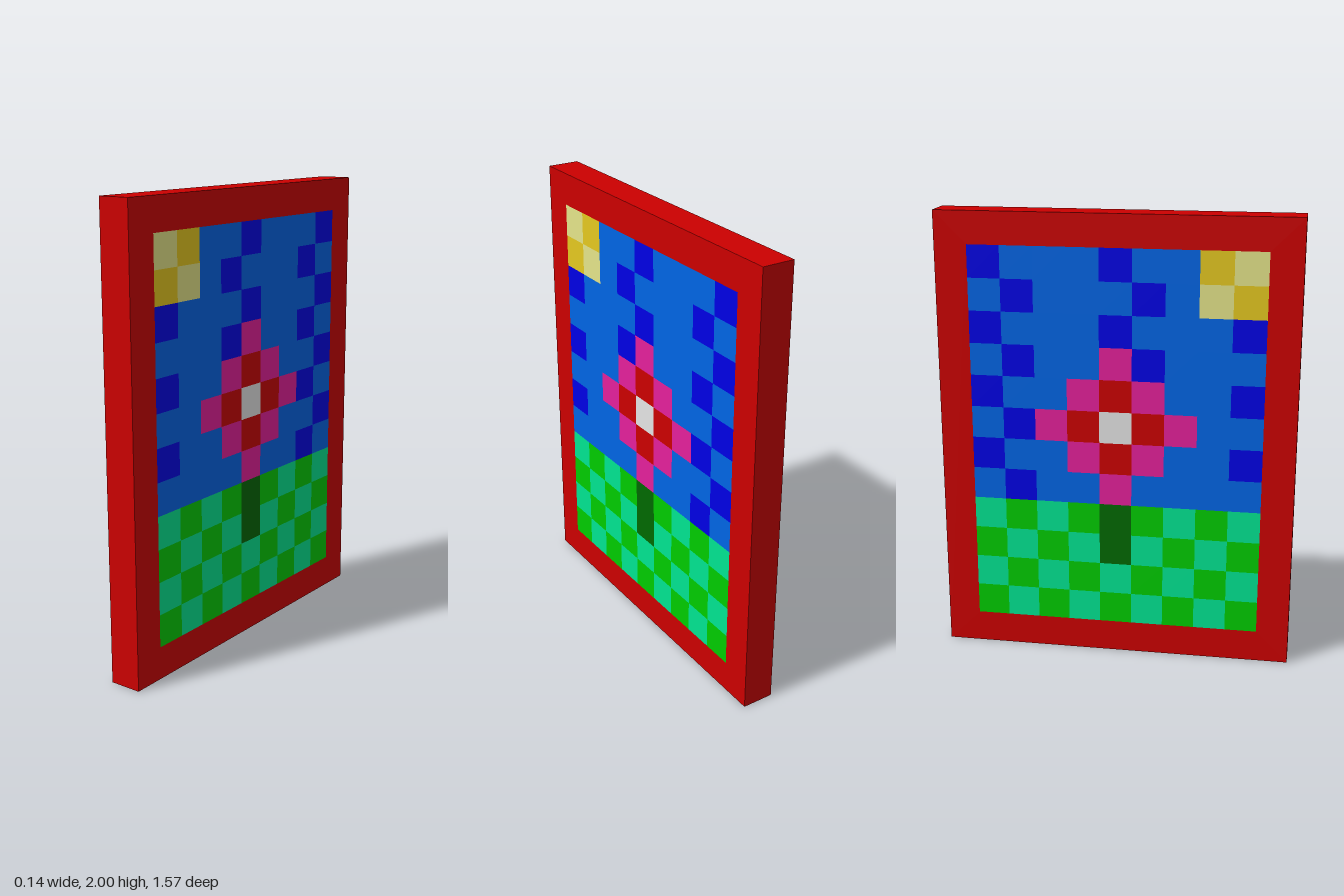
import * as THREE from 'three';
import { mergeGeometries } from 'three/addons/utils/BufferGeometryUtils.js';

const CELL = 2 / 14; // the panel is 11 x 14 cells and one cell thick
const COLS = 9, ROWS = 12;

// Mosaic from top to bottom; the first column lies at +z.
const MOSAIC = [
  'yg..n...n',
  'gy.n...n.',
  'n...n...n',
  '...np..n.',
  'n..prp..n',
  '..prwrpn.',
  'n..prp..n',
  '....p..n.',
  'tltldltlt',
  'ltltdtltl',
  'tltltltlt',
  'ltltltltl',
];

function material(name, color) {
  const m = new THREE.MeshStandardMaterial({ color });
  m.name = name;
  return m;
}

export function createModel() {
  const model = new THREE.Group();
  model.name = 'flowerPicture';

  const red = material('red', 0xcc0000);
  const parts = {
    '.': ['sky', material('sky blue', 0x0065e5)],
    n: ['skyPatches', material('deep blue', 0x0000e5)],
    y: ['sunPale', material('pale yellow', 0xe5e58a)],
    g: ['sunGold', material('gold', 0xe5c820)],
    p: ['petals', material('pink', 0xe5209b)],
    r: ['innerPetals', red],
    w: ['flowerCentre', material('light grey', 0xe5e5e5)],
    d: ['stem', material('dark green', 0x006900)],
    t: ['grassLight', material('sea green', 0x00e591)],
    l: ['grassDark', material('grass green', 0x00cc00)],
  };

  // Frame: outer rectangle with a rectangular opening, turned to face sideways
  const rectangle = (Type, w, h) => new Type([
    new THREE.Vector2(-w / 2, -h / 2), new THREE.Vector2(w / 2, -h / 2),
    new THREE.Vector2(w / 2, h / 2), new THREE.Vector2(-w / 2, h / 2),
  ]);
  const outline = rectangle(THREE.Shape, 11 * CELL, 14 * CELL);
  outline.holes.push(rectangle(THREE.Path, COLS * CELL, ROWS * CELL));
  const frameGeometry = new THREE.ExtrudeGeometry(outline, { depth: CELL, bevelEnabled: false });
  frameGeometry.translate(0, 0, -CELL / 2).rotateY(Math.PI / 2).translate(0, 1, 0);
  const frame = new THREE.Mesh(frameGeometry, red);
  frame.name = 'frame';
  model.add(frame);

  // Mosaic tiles: each cell shows on both sides, flush with the frame
  const tiles = {};
  MOSAIC.forEach((line, row) => [...line].forEach((key, col) => {
    const y = 2 - (row + 1.5) * CELL;
    const z = ((COLS - 1) / 2 - col) * CELL;
    for (const side of [1, -1]) {
      const tile = new THREE.PlaneGeometry(CELL, CELL);
      tile.rotateY(side * Math.PI / 2).translate(side * CELL / 2, y, z);
      (tiles[key] ??= []).push(tile);
    }
  }));
  for (const [key, list] of Object.entries(tiles)) {
    const [name, mat] = parts[key];
    const mesh = new THREE.Mesh(mergeGeometries(list), mat);
    mesh.name = name;
    model.add(mesh);
  }
  return model;
}
